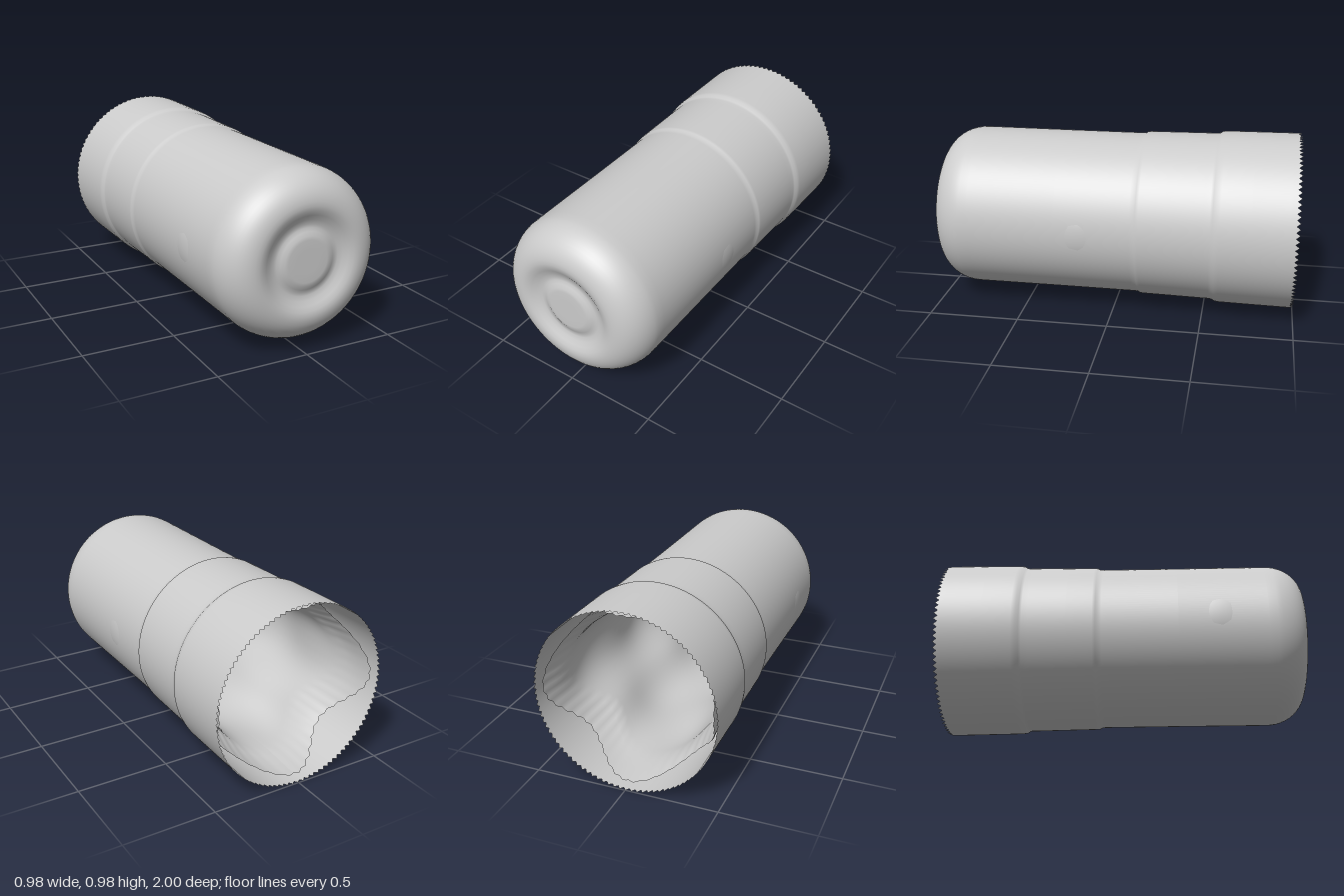
import * as THREE from 'three';

const SEGMENTS = 192;
const CENTRE_Y = 0.49;

// Turns a [radius, z] profile around the z axis
function turned(profile) {
  const points = profile.map(([r, z]) => new THREE.Vector2(r, z));
  return new THREE.LatheGeometry(points, SEGMENTS);
}

function makeMesh(name, geometry, material) {
  const mesh = new THREE.Mesh(geometry, material);
  mesh.name = name;
  mesh.rotation.x = Math.PI / 2;
  mesh.position.y = CENTRE_Y;
  return mesh;
}

export function createModel() {
  const group = new THREE.Group();
  group.name = 'steppedCup';
  const material = new THREE.MeshStandardMaterial({ color: 0xcccccc, side: THREE.DoubleSide });

  // Stepped outer wall: wide rear collar, middle band, long front barrel
  const wall = [
    [0.488, -0.99], [0.488, -0.95], [0.486, -0.75], [0.484, -0.59], [0.481, -0.565],
    [0.472, -0.55], [0.469, -0.535], [0.469, -0.5], [0.466, -0.3], [0.464, -0.16],
    [0.462, -0.143], [0.455, -0.133], [0.454, -0.11], [0.453, 0.3], [0.453, 0.78],
  ];
  // Rounded front shoulder
  for (let i = 1; i <= 12; i++) {
    const a = (i / 12) * Math.PI / 2;
    wall.push([0.283 + 0.17 * Math.cos(a), 0.8 + 0.2 * Math.sin(a)]);
  }
  // Shallow ring groove with a raised disc in the middle
  wall.push([0.26, 0.996], [0.235, 0.985], [0.21, 0.971], [0.185, 0.964], [0.168, 0.964],
    [0.15, 0.971], [0.13, 0.98], [0.11, 0.983], [0.06, 0.983], [0, 0.983]);
  const shell = turned(wall);

  // Fine teeth on the open rear edge
  const pos = shell.attributes.position;
  for (let i = 0; i <= SEGMENTS; i++) {
    pos.setY(i * wall.length, i % 2 ? -0.98 : -1);
  }
  group.add(makeMesh('outerShell', shell, material));

  // Inner lining: scalloped edge, four lengthwise channels and soft swellings
  const rings = 40;
  const lining = new THREE.CylinderGeometry(1, 1, 1, SEGMENTS, rings, true);
  const p = lining.attributes.position;
  const v = new THREE.Vector3();
  for (let i = 0; i < p.count; i++) {
    v.fromBufferAttribute(p, i);
    const t = v.y + 0.5;
    const angle = Math.atan2(v.z, v.x);
    const flap = Math.sin(2 * angle) ** 2;
    const tooth = 0.008 * Math.cos(48 * angle);
    const start = -0.96 + 0.2 * flap + tooth;
    const z = start + (0.9 - start) * t;
    const swell = 0.018 * Math.sin(9 * z) * Math.cos(3 * angle);
    const fade = Math.min(1, t * 8);
    const front = Math.max(0, (z - 0.6) / 0.3);
    const r = 0.458 - 0.02 * fade - 0.045 * flap ** 2 * (0.4 + 0.6 * fade)
      + swell * fade - 0.12 * front * front;
    p.setXYZ(i, v.x * r, z, v.z * r);
  }
  lining.computeVertexNormals();
  group.add(makeMesh('innerLining', lining, material));

  // Inside of the closed front end
  const floor = turned([[0, 0.93], [0.15, 0.93], [0.25, 0.92], [0.34, 0.89]]);
  group.add(makeMesh('innerFloor', floor, material));

  return group;
}
